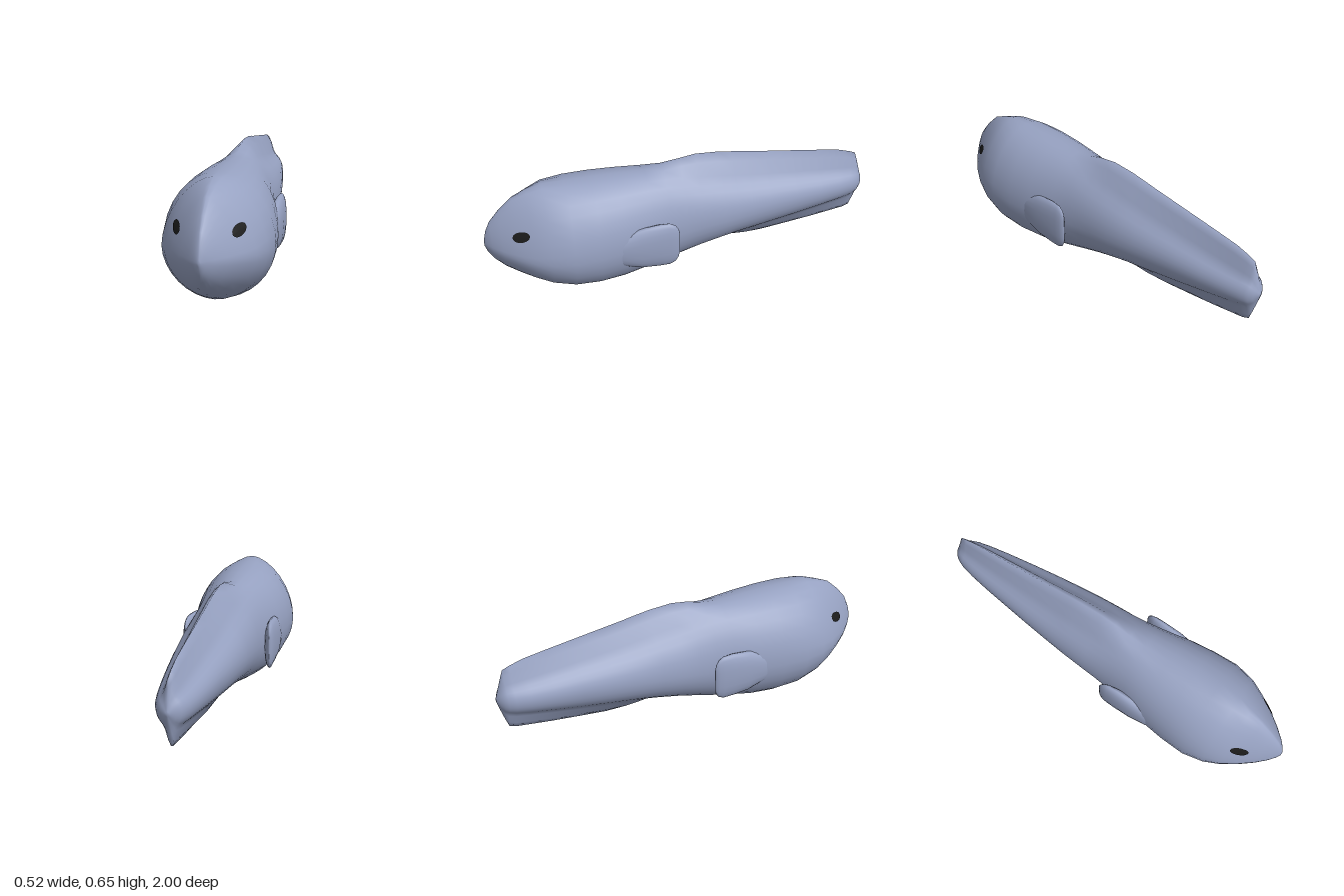
import * as THREE from 'three';

const skin = new THREE.MeshStandardMaterial({ color: 0x97a2c2 });
skin.name = 'blueGreySkin';
const black = new THREE.MeshStandardMaterial({ color: 0x1b1b1b, side: THREE.DoubleSide });
black.name = 'eyeBlack';

// Closed rings of points, ordered front to back, skinned and capped at both ends.
function loft(rings) {
  const n = rings[0].length, pos = [], idx = [];
  rings.forEach(r => r.forEach(p => pos.push(...p)));
  for (let i = 0; i < rings.length - 1; i++) {
    for (let j = 0; j < n; j++) {
      const a = i * n + j, b = i * n + (j + 1) % n;
      idx.push(a, a + n, b, b, a + n, b + n);
    }
  }
  [0, rings.length - 1].forEach(i => {
    const c = pos.length / 3, mid = [0, 1, 2].map(k => rings[i].reduce((s, p) => s + p[k], 0) / n);
    pos.push(...mid);
    for (let j = 0; j < n; j++) {
      const a = i * n + j, b = i * n + (j + 1) % n;
      if (i === 0) idx.push(c, a, b); else idx.push(c, b, a);
    }
  });
  const g = new THREE.BufferGeometry();
  g.setAttribute('position', new THREE.Float32BufferAttribute(pos, 3));
  g.setIndex(idx);
  g.computeVertexNormals();
  return g;
}

const power = (v, q) => Math.sign(v) * Math.abs(v) ** q;

// Body section: egg-shaped core, pinched on the snout, drawn out into thin tail fins above and below.
function bodyRing([z, w, cy, top, bottom, finTop, finBottom, pinch]) {
  const ring = [], n = 32;
  for (let j = 0; j < n; j++) {
    const a = j / n * Math.PI * 2, c = Math.cos(a), s = Math.sin(a);
    const q = s > 0 ? pinch : 1 + (pinch - 1) * 0.4;
    const core = cy + power(s, q) * (s > 0 ? top - cy : cy - bottom);
    const fin = (s > 0 ? finTop - top : finBottom - bottom) * Math.abs(s) ** 20;
    ring.push([w * power(c, q), core + fin, z]);
  }
  return ring;
}

// z, half width, widest height, core top, core bottom, fin top, fin bottom, pinch
const head = [
  [0.998, 0.008, 0.30, 0.315, 0.285, 1.2],
  [0.985, 0.03, 0.30, 0.37, 0.245, 1.3],
  [0.96, 0.06, 0.295, 0.425, 0.205, 1.4],
  [0.91, 0.108, 0.29, 0.485, 0.155, 1.45],
  [0.84, 0.163, 0.285, 0.55, 0.112, 1.45],
  [0.77, 0.207, 0.28, 0.58, 0.075, 1.35],
  [0.69, 0.242, 0.28, 0.605, 0.04, 1.18],
  [0.58, 0.262, 0.28, 0.606, 0.012, 1.05],
  [0.45, 0.254, 0.28, 0.606, 0.002, 1],
  [0.32, 0.238, 0.285, 0.604, 0.012, 1],
  [0.18, 0.208, 0.29, 0.60, 0.04, 1],
].map(([z, w, cy, t, b, q]) => [z, w, cy, t, b, t, b, q]);
const tail = [
  [0.09, 0.193, 0.30, 0.59, 0.063, 0.613, 0.063],
  [0.0, 0.185, 0.31, 0.572, 0.09, 0.638, 0.09],
  [-0.08, 0.182, 0.32, 0.556, 0.115, 0.65, 0.115],
  [-0.2, 0.175, 0.33, 0.537, 0.145, 0.643, 0.138],
  [-0.27, 0.169, 0.335, 0.523, 0.16, 0.633, 0.117],
  [-0.35, 0.161, 0.34, 0.508, 0.172, 0.62, 0.102],
  [-0.45, 0.15, 0.345, 0.493, 0.186, 0.606, 0.104],
  [-0.6, 0.131, 0.35, 0.472, 0.208, 0.585, 0.122],
  [-0.74, 0.112, 0.35, 0.453, 0.232, 0.565, 0.14],
  [-0.85, 0.094, 0.35, 0.44, 0.25, 0.548, 0.157],
  [-0.92, 0.078, 0.35, 0.432, 0.262, 0.527, 0.168],
  [-0.953, 0.064, 0.35, 0.426, 0.27, 0.513, 0.182],
  [-0.969, 0.054, 0.35, 0.415, 0.28, 0.465, 0.23],
  [-0.986, 0.036, 0.35, 0.395, 0.30, 0.405, 0.29],
  [-0.999, 0.01, 0.35, 0.362, 0.338, 0.362, 0.338],
].map(r => [...r, 1]);

// Side fin: a thick flap swept back along the flank.
const finRows = [ // z, centre x, centre y, half thickness, half height
  [0.44, 0.20, 0.275, 0.02, 0.05],
  [0.34, 0.205, 0.275, 0.038, 0.09],
  [0.25, 0.213, 0.28, 0.037, 0.118],
  [0.16, 0.216, 0.283, 0.033, 0.127],
  [0.105, 0.219, 0.284, 0.027, 0.127],
  [0.078, 0.222, 0.285, 0.02, 0.113],
  [0.063, 0.224, 0.287, 0.012, 0.09],
  [0.056, 0.225, 0.288, 0.004, 0.065],
];
function sideFin(side) {
  const rings = finRows.map(([z, x, y, t, h]) => Array.from({ length: 20 }, (_, j) => {
    const a = j / 20 * Math.PI * 2;
    return [side * x + t * Math.cos(a), y + h * power(Math.sin(a), 0.85), z];
  }));
  return loft(rings);
}

// Eye: a thin disc laid on the curved face.
function eyePatch(body, side) {
  const ray = new THREE.Raycaster(), n = 20, pos = [], idx = [];
  const drop = (x, y) => {
    ray.set(new THREE.Vector3(x, y, 3), new THREE.Vector3(0, 0, -1));
    const hit = ray.intersectObject(body)[0];
    pos.push(x + side * 0.003, y, (hit ? hit.point.z : 0.8) + 0.004);
  };
  drop(side * 0.135, 0.405);
  for (const k of [0.5, 1]) {
    for (let j = 0; j < n; j++) {
      const a = j / n * Math.PI * 2;
      drop(side * 0.135 + 0.024 * k * Math.cos(a), 0.405 + 0.027 * k * Math.sin(a));
    }
  }
  for (let j = 0; j < n; j++) {
    const a = 1 + j, b = 1 + (j + 1) % n;
    idx.push(0, a, b, a, a + n, b, b, a + n, b + n);
  }
  const g = new THREE.BufferGeometry();
  g.setAttribute('position', new THREE.Float32BufferAttribute(pos, 3));
  g.setIndex(idx);
  g.computeVertexNormals();
  return g;
}

export function createModel() {
  const model = new THREE.Group();
  model.name = 'tadpole';
  const add = (name, geometry, material) => {
    const mesh = new THREE.Mesh(geometry, material);
    mesh.name = name;
    model.add(mesh);
    return mesh;
  };
  const body = add('bodyAndTail', loft([...head, ...tail].map(bodyRing)), skin);
  body.updateMatrixWorld(true);
  for (const [label, side] of [['left', 1], ['right', -1]]) {
    add(label + 'SideFin', sideFin(side), skin);
    add(label + 'Eye', eyePatch(body, side), black);
  }
  return model;
}
